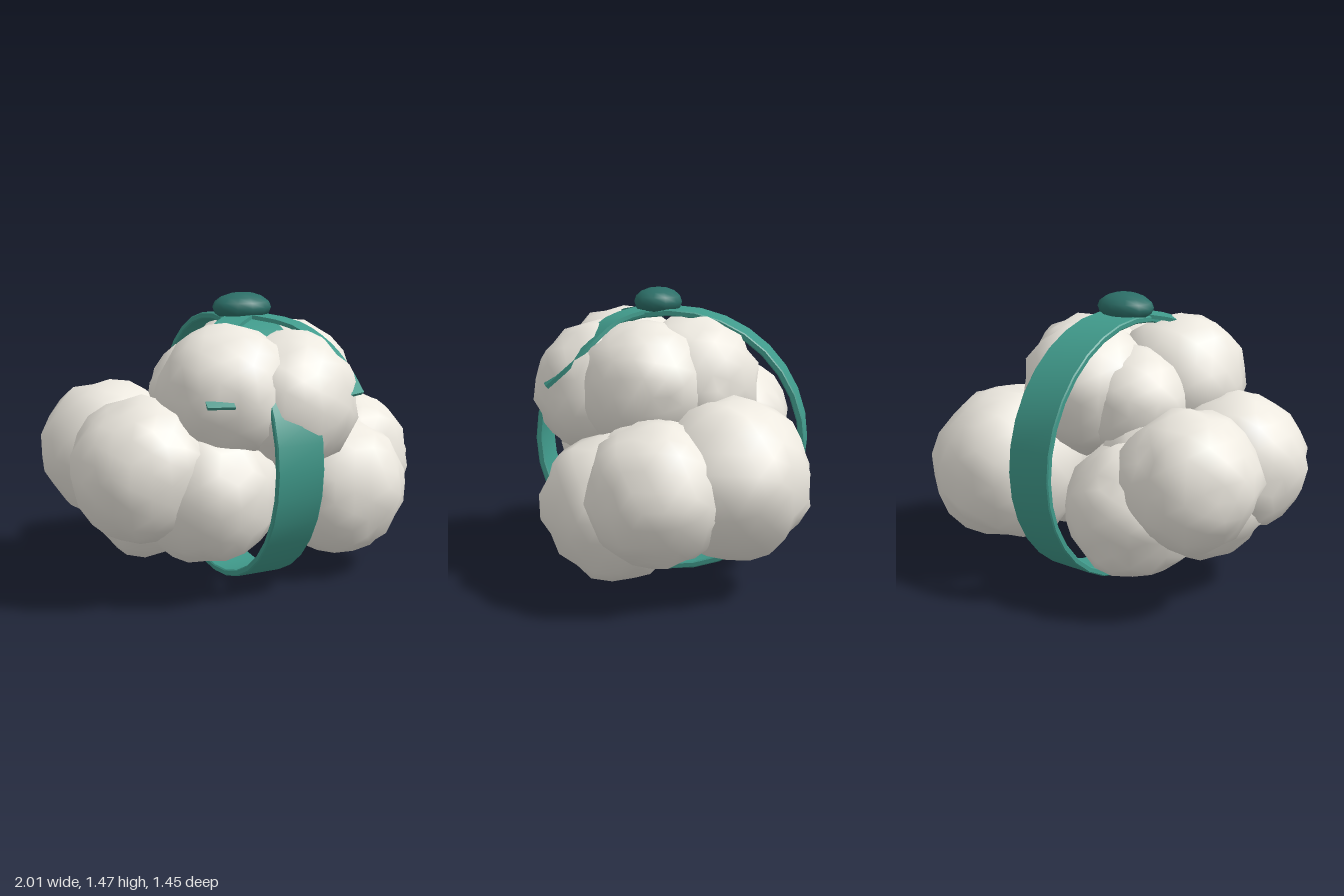
import * as THREE from 'three';
import { mergeVertices, toCreasedNormals } from 'three/addons/utils/BufferGeometryUtils.js';

const cream = new THREE.MeshStandardMaterial({ color: 0xece8df });
const teal = new THREE.MeshStandardMaterial({ color: 0x409a8b });
const darkTeal = new THREE.MeshStandardMaterial({ color: 0x2c6f68 });

function seeded(seed) {
  let s = seed;
  return () => (s = (s * 16807) % 2147483647) / 2147483647;
}

function add(parent, name, geometry, material) {
  const mesh = new THREE.Mesh(geometry, material);
  mesh.name = name;
  parent.add(mesh);
  return mesh;
}

// Smooth ball whose vertices are pushed in and out a little
function lumpyBall(radius, seed) {
  const rand = seeded(seed * 7919 + 13);
  for (let i = 0; i < 5; i++) rand();
  let g = new THREE.IcosahedronGeometry(radius, 3);
  g.deleteAttribute('uv');
  g.deleteAttribute('normal');
  g = mergeVertices(g, 1e-4);
  const p = g.attributes.position;
  const v = new THREE.Vector3();
  for (let i = 0; i < p.count; i++) {
    v.fromBufferAttribute(p, i).multiplyScalar(0.93 + 0.105 * rand());
    p.setXYZ(i, v.x, v.y, v.z);
  }
  g.computeVertexNormals();
  return g;
}

// Thin strip following a curve, its width turning from sideA to sideB
function ribbon(points, width, thickness, sideA, sideB) {
  const curve = new THREE.CatmullRomCurve3(points);
  const g = new THREE.BoxGeometry(width, thickness, 1, 1, 1, 12);
  const p = g.attributes.position;
  const side = new THREE.Vector3(), up = new THREE.Vector3();
  for (let i = 0; i < p.count; i++) {
    const t = p.getZ(i) + 0.5;
    const tangent = curve.getTangent(t);
    side.lerpVectors(sideA, sideB, t).normalize();
    up.crossVectors(tangent, side).normalize();
    const v = curve.getPoint(t).addScaledVector(side, p.getX(i)).addScaledVector(up, p.getY(i));
    p.setXYZ(i, v.x, v.y, v.z);
  }
  return toCreasedNormals(g, 0.7);
}

export function createModel() {
  const root = new THREE.Group();
  root.name = 'tiedPuffs';

  // Puff clusters: x, y, z, radius of each ball
  const clusters = {
    topCluster: [
      [0.08, 0.96, 0.375, 0.35], [-0.23, 1.015, 0.31, 0.345],
      [0.21, 0.99, 0.12, 0.345], [0.06, 1.0, -0.095, 0.35],
      [-0.18, 0.94, -0.03, 0.295],
    ],
    rightCluster: [
      [0.46, 0.44, 0.22, 0.37], [0.65, 0.55, -0.01, 0.35],
      [0.41, 0.58, -0.34, 0.4], [0.42, 0.54, 0.04, 0.35],
    ],
    leftCluster: [
      [-0.64, 0.66, 0.23, 0.36], [-0.64, 0.67, -0.2, 0.36],
      [-0.37, 0.49, -0.27, 0.35], [-0.33, 0.535, 0.31, 0.365],
      [-0.35, 0.66, -0.05, 0.32], [-0.55, 0.5, 0.06, 0.33],
    ],
  };
  let seed = 1;
  for (const [name, balls] of Object.entries(clusters)) {
    const group = new THREE.Group();
    group.name = name;
    for (const [x, y, z, r] of balls) {
      add(group, 'puff', lumpyBall(r, seed), cream).position.set(x, y, z);
      seed++;
    }
    root.add(group);
  }

  // Flat band running around the middle
  const R = 0.7, t = 0.033, h = 0.125, b = 0.006;
  const section = [[R - t, -h + b], [R - t + b, -h], [R - b, -h], [R, -h + b],
    [R, h - b], [R - b, h], [R - t + b, h], [R - t, h - b], [R - t, -h + b]]
    .map(([r, y]) => new THREE.Vector2(r, y));
  const bandGeometry = toCreasedNormals(new THREE.LatheGeometry(section, 32), 0.7);
  bandGeometry.rotateZ(Math.PI / 2);
  const band = add(root, 'band', bandGeometry, teal);
  band.scale.set(1, 0.978, 1.005);
  band.position.set(-0.035, 0.685, 0.018);

  // Knot on top
  const knot = add(root, 'knot', new THREE.SphereGeometry(1, 12, 8), darkTeal);
  knot.scale.set(0.155, 0.075, 0.125);
  knot.position.set(-0.033, 1.4, 0.09);

  // Two ribbon tails, mirrored about the band
  for (const s of [1, -1]) {
    const V = (x, y, z) => new THREE.Vector3(s * x, y, z);
    const path = [V(0, 1.37, 0.12), V(0.2, 1.32, 0.29), V(0.31, 1.22, 0.39),
      V(0.355, 1.11, 0.49), V(0.36, 1.005, 0.6)];
    const sideA = new THREE.Vector3(0.65, 0, -0.75 * s);
    const sideB = new THREE.Vector3(1, 0, -0.35 * s);
    const tail = add(root, s > 0 ? 'leftTail' : 'rightTail', ribbon(path, 0.13, 0.02, sideA, sideB), teal);
    tail.position.x = -0.035;
  }
  return root;
}
